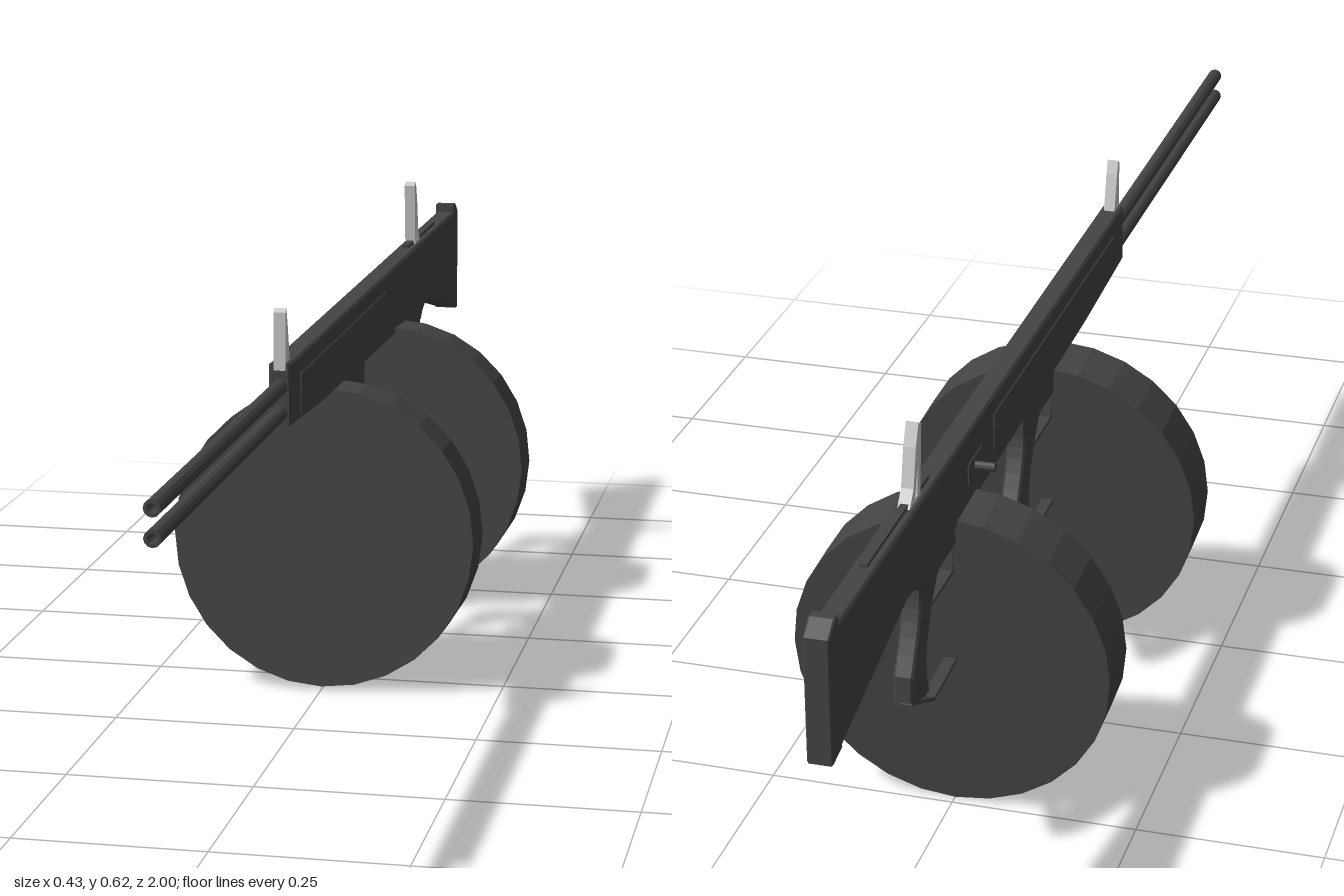
import * as THREE from 'three';

const DARK = 0x444444;
const darkMat = new THREE.MeshStandardMaterial({ color: DARK, flatShading: true });
const lightMat = new THREE.MeshStandardMaterial({ color: 0xcccccc, flatShading: true });

function add(parent, name, geometry, material = darkMat) {
  const mesh = new THREE.Mesh(geometry, material);
  mesh.name = name;
  parent.add(mesh);
  return mesh;
}

// Side outline given as [z, y] points, extruded across x with a small bevel
function sideExtrude(shape, halfWidth, bevel = 0.003) {
  const g = new THREE.ExtrudeGeometry(shape, {
    depth: 2 * (halfWidth - bevel), bevelEnabled: bevel > 0, bevelSize: bevel,
    bevelThickness: bevel, bevelOffset: -bevel, bevelSegments: 1, curveSegments: 5,
  });
  g.translate(0, 0, -(halfWidth - bevel));
  return g.rotateY(-Math.PI / 2);
}

const outline = (pts) => new THREE.Shape(pts.map(([z, y]) => new THREE.Vector2(z, y)));

// Flat strip following a [z, y] path
function strip(parent, name, pts, halfWidth, thickness) {
  const group = new THREE.Group();
  group.name = name;
  for (let i = 0; i < pts.length - 1; i++) {
    const [z0, y0] = pts[i], [z1, y1] = pts[i + 1];
    const length = Math.hypot(z1 - z0, y1 - y0) + thickness;
    const bar = add(group, name + 'Bar', new THREE.BoxGeometry(2 * halfWidth, thickness, length));
    bar.position.set(0, (y0 + y1) / 2, (z0 + z1) / 2);
    bar.rotation.x = -Math.atan2(y1 - y0, z1 - z0);
  }
  parent.add(group);
}

// Drum, grip, trigger and guard, repeated along the body
function lowerUnit(name) {
  const unit = new THREE.Group();
  unit.name = name;

  const drumGeo = new THREE.CylinderGeometry(0.213, 0.213, 0.085, 28).rotateX(Math.PI / 2);
  const drum = add(unit, 'drum', drumGeo);
  drum.position.set(0, 0.217, 0.012);
  drum.rotation.x = -0.052;

  const grip = new THREE.Shape();
  grip.moveTo(-0.112, 0.435);
  grip.lineTo(-0.112, 0.395);
  grip.quadraticCurveTo(-0.145, 0.365, -0.163, 0.32);
  grip.quadraticCurveTo(-0.175, 0.28, -0.157, 0.247);
  grip.lineTo(-0.178, 0.245);
  grip.lineTo(-0.228, 0.265);
  grip.lineTo(-0.226, 0.3);
  grip.quadraticCurveTo(-0.19, 0.36, -0.187, 0.39);
  grip.lineTo(-0.187, 0.435);
  add(unit, 'grip', sideExtrude(grip, 0.013));

  strip(unit, 'triggerGuard', [[-0.035, 0.395], [-0.04, 0.352], [-0.125, 0.352]], 0.008, 0.005);
  add(unit, 'triggerHousing', new THREE.BoxGeometry(0.024, 0.036, 0.1)).position.set(0, 0.412, -0.08);
  add(unit, 'trigger', sideExtrude(outline([
    [-0.1, 0.4], [-0.114, 0.365], [-0.108, 0.36], [-0.12, 0.38], [-0.118, 0.4],
  ].reverse()), 0.004, 0));
  strip(unit, 'handGuard', [[-0.025, 0.218], [-0.125, 0.213], [-0.215, 0.258]], 0.008, 0.005);
  return unit;
}

export function createModel() {
  const model = new THREE.Group();
  model.name = 'twinDrumGun';

  // Receiver and stock in one long profile
  const body = new THREE.Shape();
  body.moveTo(0.333, 0.525);
  body.lineTo(0.333, 0.441);
  body.lineTo(0.12, 0.43);
  body.lineTo(-0.55, 0.417);
  body.lineTo(-0.65, 0.4);
  body.quadraticCurveTo(-0.672, 0.422, -0.717, 0.421);
  body.lineTo(-0.97, 0.363);
  body.lineTo(-0.97, 0.525);
  add(model, 'body', sideExtrude(body, 0.015));

  // Butt plate with a raised heel
  add(model, 'buttPlate', sideExtrude(outline([
    [-0.965, 0.363], [-0.965, 0.538], [-0.978, 0.538], [-1, 0.522], [-1, 0.357],
  ]), 0.016, 0.002));

  // Side panels, left and right
  for (const side of [1, -1]) {
    add(model, 'sidePanel', new THREE.BoxGeometry(0.002, 0.052, 0.62))
      .position.set(side * 0.0155, 0.474, -0.035);
  }

  // Twin barrels, hollow at the muzzle
  for (const y of [0.493, 0.458]) {
    const barrel = new THREE.LatheGeometry([
      [0, 0.63], [0.006, 0.63], [0.006, 0.68], [0.0105, 0.68], [0.0105, 0],
    ].reverse().map(([r, h]) => new THREE.Vector2(r, h)), 12).rotateX(Math.PI / 2);
    add(model, 'barrel', barrel).position.set(0, y, 0.32);
  }

  // Charging handle on the right side, over its port
  add(model, 'chargingPort', new THREE.BoxGeometry(0.002, 0.028, 0.06)).position.set(-0.0155, 0.468, -0.43);
  add(model, 'chargingHandle', new THREE.CylinderGeometry(0.006, 0.006, 0.03, 10).rotateZ(Math.PI / 2))
    .position.set(-0.028, 0.468, -0.43);

  // Sights and the rail behind the rear one
  add(model, 'frontSight', sideExtrude(outline([
    [0.333, 0.515], [0.334, 0.592], [0.328, 0.597], [0.321, 0.578], [0.305, 0.515],
  ].reverse()), 0.008, 0), lightMat);
  const rear = outline([
    [-0.635, 0.515], [-0.625, 0.618], [-0.636, 0.623], [-0.648, 0.595], [-0.66, 0.545], [-0.685, 0.515],
  ].reverse());
  rear.holes.push(new THREE.Path([
    [-0.645, 0.53], [-0.642, 0.57], [-0.655, 0.53],
  ].map(([z, y]) => new THREE.Vector2(z, y))));
  add(model, 'rearSight', sideExtrude(rear, 0.008, 0), lightMat);
  add(model, 'sightRail', new THREE.BoxGeometry(0.01, 0.008, 0.24)).position.set(0, 0.526, -0.71);

  // Two identical drum and grip units
  model.add(lowerUnit('frontUnit'));
  const rearUnit = lowerUnit('rearUnit');
  rearUnit.position.z = -0.467;
  model.add(rearUnit);

  return model;
}
